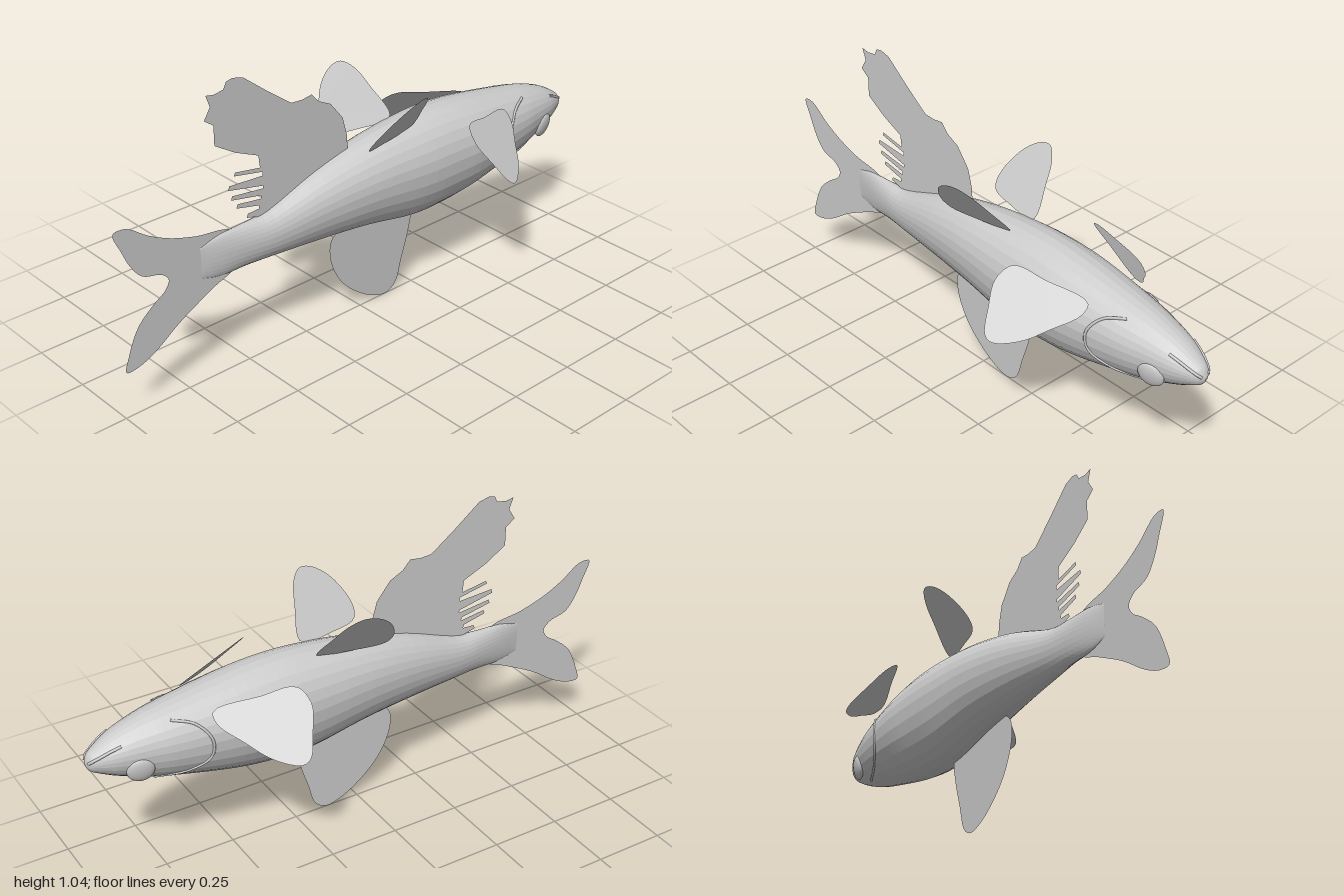
import * as THREE from 'three';

const paleGrey = new THREE.MeshStandardMaterial({ color: 0xcccccc });
paleGrey.name = 'paleGrey';
paleGrey.side = THREE.DoubleSide;

// Body stations: x, top, bottom, half width
const stations = [
  [-0.68, 0.5, 0.39, 0.003], [-0.6, 0.522, 0.37, 0.018], [-0.5, 0.525, 0.37, 0.034],
  [-0.4, 0.535, 0.365, 0.051], [-0.2, 0.607, 0.352, 0.086], [0, 0.655, 0.332, 0.115],
  [0.2, 0.68, 0.297, 0.135], [0.35, 0.684, 0.297, 0.141], [0.5, 0.67, 0.317, 0.14],
  [0.7, 0.638, 0.363, 0.117], [0.8, 0.618, 0.39, 0.097], [0.9, 0.585, 0.428, 0.071],
  [0.97, 0.545, 0.462, 0.039], [0.99, 0.527, 0.477, 0.022], [1, 0.503, 0.497, 0.002],
];
const lengthCurve = new THREE.SplineCurve(stations.map(s => new THREE.Vector2(s[0], s[3])));
const heightCurve = new THREE.SplineCurve(stations.map(s => new THREE.Vector2(s[1], s[2])));

function section(t) {
  const a = lengthCurve.getPoint(t), b = heightCurve.getPoint(t);
  const mid = b.y + (b.x - b.y) * 0.56;
  return { x: a.x, w: Math.max(a.y, 0.001), mid, up: b.x - mid, down: mid - b.y };
}

// Half width of the body at a given length and height
function sideZ(x, y) {
  let lo = 0, hi = 1;
  for (let i = 0; i < 30; i++) {
    const m = (lo + hi) / 2;
    if (section(m).x < x) lo = m; else hi = m;
  }
  const s = section(lo);
  const sin = Math.min(1, Math.abs(y - s.mid) / (y > s.mid ? s.up : s.down));
  return s.w * Math.pow(Math.sqrt(1 - sin * sin), y > s.mid ? 1 : 1.15);
}

// Faceted skin lofted through the cross-sections
function bodyGeometry() {
  const rings = 56, sides = 28, pos = [], index = [];
  for (let i = 0; i <= rings; i++) {
    const s = section(i / rings);
    for (let j = 0; j < sides; j++) {
      const a = (j / sides) * Math.PI * 2, c = Math.cos(a), n = Math.sin(a);
      const width = Math.sign(c) * Math.pow(Math.abs(c), n > 0 ? 1 : 1.15);
      pos.push(s.x, s.mid + n * (n > 0 ? s.up : s.down), s.w * width);
      if (i === rings) continue;
      const p = i * sides + j, q = i * sides + (j + 1) % sides;
      index.push(p, p + sides, q, q, p + sides, q + sides);
    }
  }
  const g = new THREE.BufferGeometry();
  g.setAttribute('position', new THREE.Float32BufferAttribute(pos, 3));
  g.setIndex(index);
  const flat = g.toNonIndexed();
  flat.computeVertexNormals();
  return flat;
}

// Thin fin: an outline in x and y, laid on a plane given by depth(x, y)
function finGeometry(points, depth = () => 0, smooth = true) {
  let outline = points.map(p => new THREE.Vector2(p[0], p[1]));
  if (smooth) {
    const loop = new THREE.CatmullRomCurve3(points.map(p => new THREE.Vector3(p[0], p[1], 0)), true);
    outline = loop.getPoints(points.length * 5).slice(0, -1).map(p => new THREE.Vector2(p.x, p.y));
  }
  const g = new THREE.ShapeGeometry(new THREE.Shape(outline));
  const pos = g.attributes.position;
  for (let i = 0; i < pos.count; i++) pos.setZ(i, depth(pos.getX(i), pos.getY(i)));
  g.computeVertexNormals();
  return g;
}

const tailFin = [
  [-0.55, 0.515], [-0.695, 0.55], [-0.79, 0.58], [-0.87, 0.62], [-0.95, 0.673], [-0.995, 0.67],
  [-0.97, 0.6], [-0.94, 0.535], [-0.9, 0.487], [-0.83, 0.465], [-0.805, 0.437], [-0.82, 0.405],
  [-0.87, 0.37], [-0.93, 0.315], [-0.972, 0.225], [-0.985, 0.17], [-0.94, 0.17], [-0.87, 0.2],
  [-0.765, 0.27], [-0.63, 0.34], [-0.55, 0.38],
];
// Ragged upper fin with free rays along its rear edge
const upperFin = [
  [-0.055, 0.63], [-0.06, 0.7], [-0.078, 0.765], [-0.13, 0.83], [-0.18, 0.855], [-0.21, 0.888],
  [-0.25, 0.882], [-0.295, 0.885], [-0.39, 0.955], [-0.485, 1.03], [-0.525, 1.04], [-0.55, 1.035],
  [-0.562, 1.012], [-0.6, 1.006], [-0.63, 1.012], [-0.615, 0.97], [-0.64, 0.93], [-0.605, 0.905],
  [-0.605, 0.835], [-0.525, 0.785], [-0.435, 0.745], [-0.43, 0.7],
  [-0.53, 0.717], [-0.535, 0.705], [-0.42, 0.682], [-0.42, 0.668],
  [-0.555, 0.677], [-0.56, 0.662], [-0.42, 0.632], [-0.42, 0.622],
  [-0.545, 0.638], [-0.55, 0.624], [-0.43, 0.6], [-0.43, 0.588],
  [-0.525, 0.602], [-0.53, 0.588], [-0.44, 0.567], [-0.44, 0.555],
  [-0.485, 0.553], [-0.49, 0.54], [-0.4, 0.515], [-0.2, 0.585],
];
const lowerFin = [
  [-0.1, 0.345], [-0.135, 0.31], [-0.135, 0.235], [-0.09, 0.14], [-0.02, 0.07], [0.06, 0.02],
  [0.125, 0.004], [0.17, 0.03], [0.2, 0.12], [0.232, 0.225], [0.24, 0.3], [0.18, 0.33], [0, 0.355],
];
const pairedUpperFin = [
  [0.19, 0.67], [0.165, 0.76], [0.14, 0.82], [0.1, 0.85], [0.045, 0.838], [-0.02, 0.785],
  [-0.062, 0.7], [-0.05, 0.665], [0.05, 0.655],
];
const sideFin = [
  [0.6, 0.615], [0.45, 0.647], [0.335, 0.663], [0.315, 0.625], [0.345, 0.555], [0.38, 0.495],
  [0.415, 0.48], [0.49, 0.5], [0.545, 0.54], [0.6, 0.585],
];

// Raised line that follows the skin
function ridgeGeometry(points, radius) {
  const path = points.map(([x, y]) => new THREE.Vector3(x, y, sideZ(x, y)));
  return new THREE.TubeGeometry(new THREE.CatmullRomCurve3(path), 28, radius, 6);
}

export function createModel() {
  const model = new THREE.Group();
  model.name = 'fish';
  const add = (name, geometry, parent = model) => {
    const mesh = new THREE.Mesh(geometry, paleGrey);
    mesh.name = name;
    parent.add(mesh);
    return mesh;
  };

  add('body', bodyGeometry());
  add('tailFin', finGeometry(tailFin));
  add('upperFin', finGeometry(upperFin, undefined, false));
  add('lowerFin', finGeometry(lowerFin));

  // Parts repeated on both flanks
  for (const side of [1, -1]) {
    const label = side > 0 ? 'left' : 'right';
    add(label + 'PairedUpperFin', finGeometry(pairedUpperFin,
      (x, y) => side * (0.055 - 0.196 * (x - 0.19) + 0.752 * (y - 0.67))));
    add(label + 'SideFin', finGeometry(sideFin,
      (x, y) => side * (0.1 - 0.489 * (x - 0.6) - 1.05 * (y - 0.62))));

    const eye = add(label + 'Eye', new THREE.SphereGeometry(0.046, 24, 16));
    eye.scale.z = 0.34;
    eye.position.set(0.845, 0.467, side * (sideZ(0.845, 0.467) - 0.001));
    eye.rotation.set(side * 0.2, side * 0.25, 0);

    const gill = add(label + 'GillEdge', ridgeGeometry(
      [[0.73, 0.61], [0.66, 0.59], [0.615, 0.53], [0.62, 0.46], [0.69, 0.415], [0.79, 0.405]], 0.005));
    gill.scale.z = side;
    const lip = add(label + 'Lip', ridgeGeometry(
      [[0.895, 0.562], [0.93, 0.548], [0.965, 0.53], [0.985, 0.518], [0.994, 0.508]], 0.005));
    lip.scale.z = side;
  }
  return model;
}
